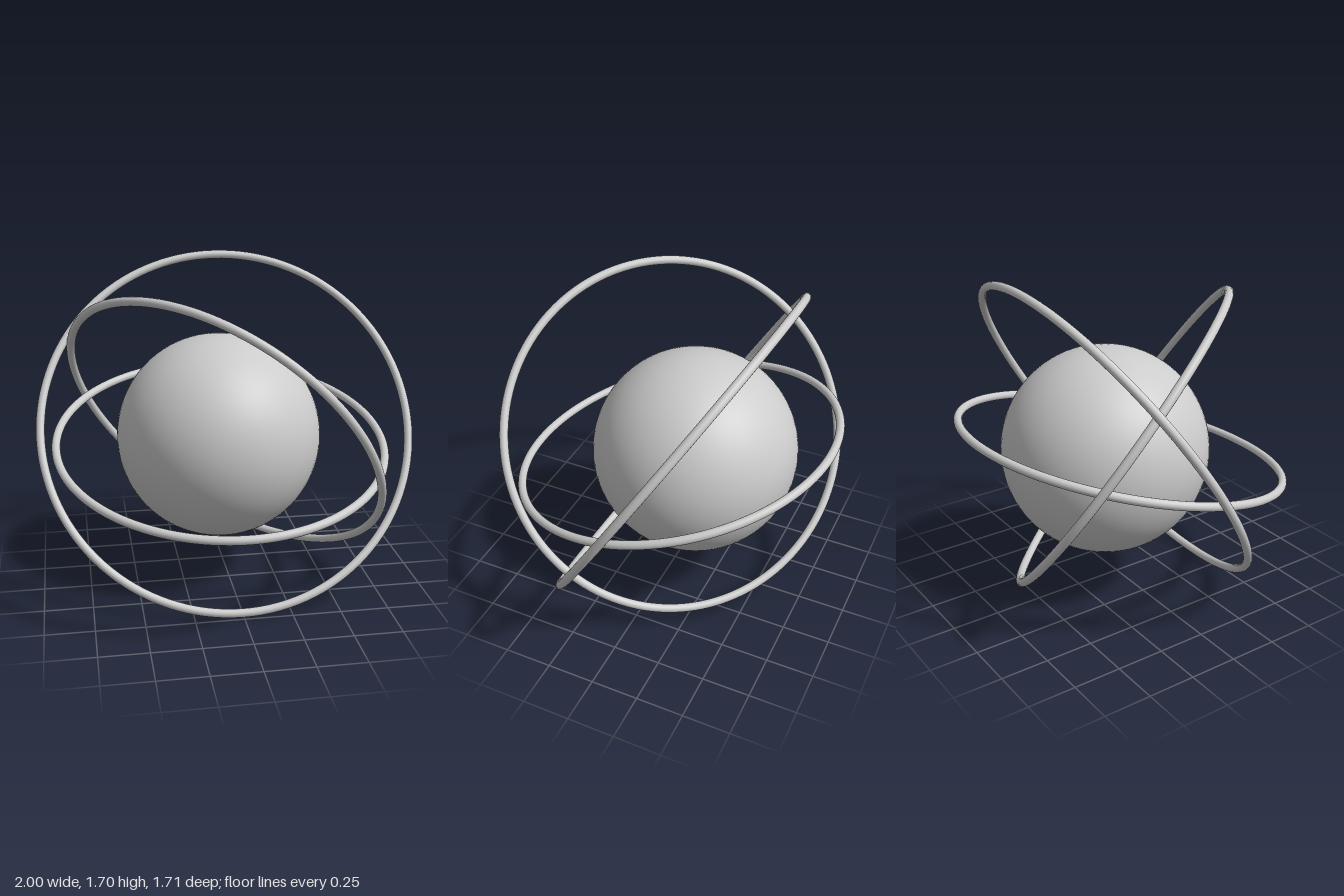
import * as THREE from 'three';

const TUBE = 0.0225;

export function createModel() {
  const model = new THREE.Group();
  const material = new THREE.MeshStandardMaterial({ color: 0xcccccc });

  // central globe
  const globe = new THREE.Mesh(new THREE.SphereGeometry(0.54, 64, 48), material);
  globe.name = 'globe';
  globe.position.set(-0.04, 0.794, -0.1);
  model.add(globe);

  // orbit rings: each a thin torus turned so its axis follows the given normal
  const rings = [
    { name: 'levelRing', radius: 0.857, center: [-0.043, 0.793, 0], normal: [0, 0.972, 0.236] },
    { name: 'uprightRing', radius: 0.977, center: [0, 0.854, -0.043], normal: [-0.026, 0.529, 0.848] },
    { name: 'diagonalRing', radius: 0.92, center: [-0.048, 0.847, 0.002], normal: [0.58, 0.565, -0.588] },
  ];
  const axis = new THREE.Vector3(0, 0, 1);
  for (const { name, radius, center, normal } of rings) {
    const ring = new THREE.Mesh(new THREE.TorusGeometry(radius, TUBE, 16, 128), material);
    ring.name = name;
    ring.position.set(...center);
    ring.quaternion.setFromUnitVectors(axis, new THREE.Vector3(...normal).normalize());
    model.add(ring);
  }
  return model;
}
